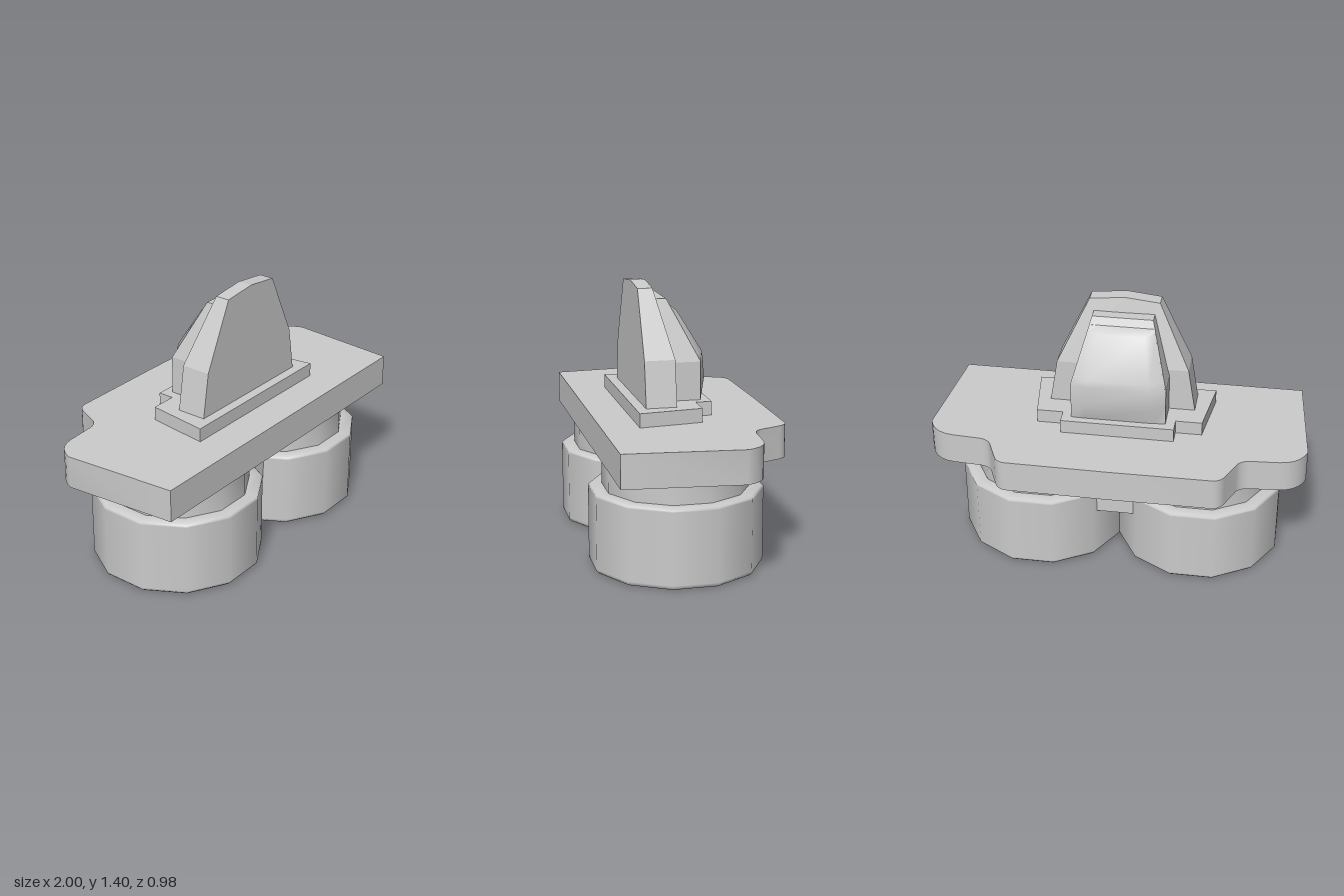
import * as THREE from 'three';
import { toCreasedNormals } from 'three/addons/utils/BufferGeometryUtils.js';

const smooth = new THREE.MeshStandardMaterial({ color: 0xcccccc });
const flat = new THREE.MeshStandardMaterial({ color: 0xcccccc, flatShading: true });

function add(parent, name, geometry, material = smooth) {
  const mesh = new THREE.Mesh(geometry, material);
  mesh.name = name;
  parent.add(mesh);
  return mesh;
}

// Upright slab from a plan outline drawn with shape y = -z
function slab(shape, y, height) {
  const g = new THREE.ExtrudeGeometry(shape, { depth: height, bevelEnabled: false, curveSegments: 5 });
  g.rotateX(-Math.PI / 2);
  g.translate(0, y, 0);
  return toCreasedNormals(g, 0.75);
}

// Twelve-sided turned part with a flat facing each axis
function turned(points) {
  const profile = points.map(([r, y]) => new THREE.Vector2(r, y));
  return new THREE.LatheGeometry(profile, 12, Math.PI / 12);
}

// Skin stacked rings (counter-clockwise seen from below) and cap both ends
function loft(rings, fan = 0) {
  const n = rings[0].length;
  const index = [];
  for (let r = 0; r < rings.length - 1; r++) {
    for (let i = 0; i < n; i++) {
      const a = r * n + i, b = r * n + (i + 1) % n;
      index.push(a, a + n, b, b, a + n, b + n);
    }
  }
  const top = (rings.length - 1) * n;
  for (let i = 1; i < n - 1; i++) {
    const p = (fan + i) % n, q = (fan + i + 1) % n;
    index.push(fan, p, q, top + fan, top + q, top + p);
  }
  const g = new THREE.BufferGeometry();
  g.setAttribute('position', new THREE.Float32BufferAttribute(rings.flat(2), 3));
  g.setIndex(index);
  return g;
}

export function createModel() {
  const model = new THREE.Group();
  model.name = 'twinCupFitting';

  // Two open-bottomed cups with narrower necks and tapering hollows
  const shell = toCreasedNormals(turned([
    [0.436, 0], [0.448, 0.012], [0.448, 0.022], [0.448, 0.395], [0.448, 0.403],
    [0.441, 0.41], [0.378, 0.41], [0.378, 0.56],
  ]), 0.95);
  const hollow = turned([[0, 0.38], [0.31, 0.36], [0.412, 0.006], [0.436, 0]]);
  for (const [side, name] of [[1, 'leftCup'], [-1, 'rightCup']]) {
    const cup = new THREE.Group();
    cup.name = name;
    cup.position.set(side * 0.432, 0, 0.058);
    add(cup, 'cupShell', shell);
    add(cup, 'cupHollow', hollow);
    model.add(cup);
  }

  // Web block bridging the cups
  add(model, 'webBlock', new THREE.BoxGeometry(0.27, 0.275, 0.49)).position.set(0, 0.4175, 0.015);

  // Flange plate with rounded shoulders and a projecting rear section
  const plate = new THREE.Shape();
  plate.moveTo(-0.945, -0.443);
  plate.lineTo(0.945, -0.443);
  plate.lineTo(1, 0.16);
  plate.quadraticCurveTo(0.965, 0.265, 0.86, 0.275);
  plate.lineTo(0.71, 0.285);
  plate.quadraticCurveTo(0.665, 0.29, 0.645, 0.325);
  plate.lineTo(0.595, 0.44);
  plate.quadraticCurveTo(0.575, 0.485, 0.53, 0.486);
  plate.lineTo(0, 0.49);
  plate.lineTo(-0.53, 0.486);
  plate.quadraticCurveTo(-0.575, 0.485, -0.595, 0.44);
  plate.lineTo(-0.645, 0.325);
  plate.quadraticCurveTo(-0.665, 0.29, -0.71, 0.285);
  plate.lineTo(-0.86, 0.275);
  plate.quadraticCurveTo(-0.965, 0.265, -1, 0.16);
  plate.closePath();
  add(model, 'flangePlate', slab(plate, 0.552, 0.173));

  // Stepped pedestal
  const half = [[0.484, -0.253], [0.44, 0.08], [0.3, 0.08], [0.3, 0.165]];
  const outline = [...half, ...half.map(([x, y]) => [-x, y]).reverse()];
  const pedestal = new THREE.Shape(outline.map(([x, y]) => new THREE.Vector2(x, y)));
  add(model, 'pedestal', slab(pedestal, 0.718, 0.08));

  // Tapered front shield: [y, half width, back z, height of the centre]
  const shieldRings = [
    [0.79, 0.39, 0.04, 0.79], [1.035, 0.35, 0.04, 1.035], [1.38, 0.185, 0.122, 1.4],
  ].map(([y, w, zb, yc]) => [
    [w, y, 0.2], [0, yc, 0.2], [-w, y, 0.2], [-w, y, zb], [0, yc, zb], [w, y, zb],
  ]);
  add(model, 'frontShield', loft(shieldRings, 1), flat);

  // Rear housing: [y, half width, back z]
  const housingRings = [
    [0.79, 0.25, -0.118], [1.0, 0.25, -0.118], [1.32, 0.16, 0.045],
  ].map(([y, w, zb]) => [[w, y, 0.115], [-w, y, 0.115], [-w, y, zb], [w, y, zb]]);
  add(model, 'rearHousing', loft(housingRings), flat);

  // Bulging rear panel: [y, edge half width, edge z, face half width, face z]
  const panelRings = [
    [0.79, 0.246, -0.118, 0.18, -0.12],
    [0.9, 0.246, -0.118, 0.175, -0.155],
    [1.0, 0.246, -0.118, 0.168, -0.149],
    [1.04, 0.235, -0.098, 0.165, -0.145],
    [1.25, 0.176, 0.009, 0.125, -0.02],
    [1.28, 0.167, 0.024, 0.12, 0.02],
  ].map(([y, w, z, fw, fz]) => [
    [w, y, z + 0.03], [-w, y, z + 0.03], [-w, y, z], [-fw, y, fz], [fw, y, fz], [w, y, z],
  ]);
  add(model, 'rearPanel', toCreasedNormals(loft(panelRings), 0.9));

  return model;
}
